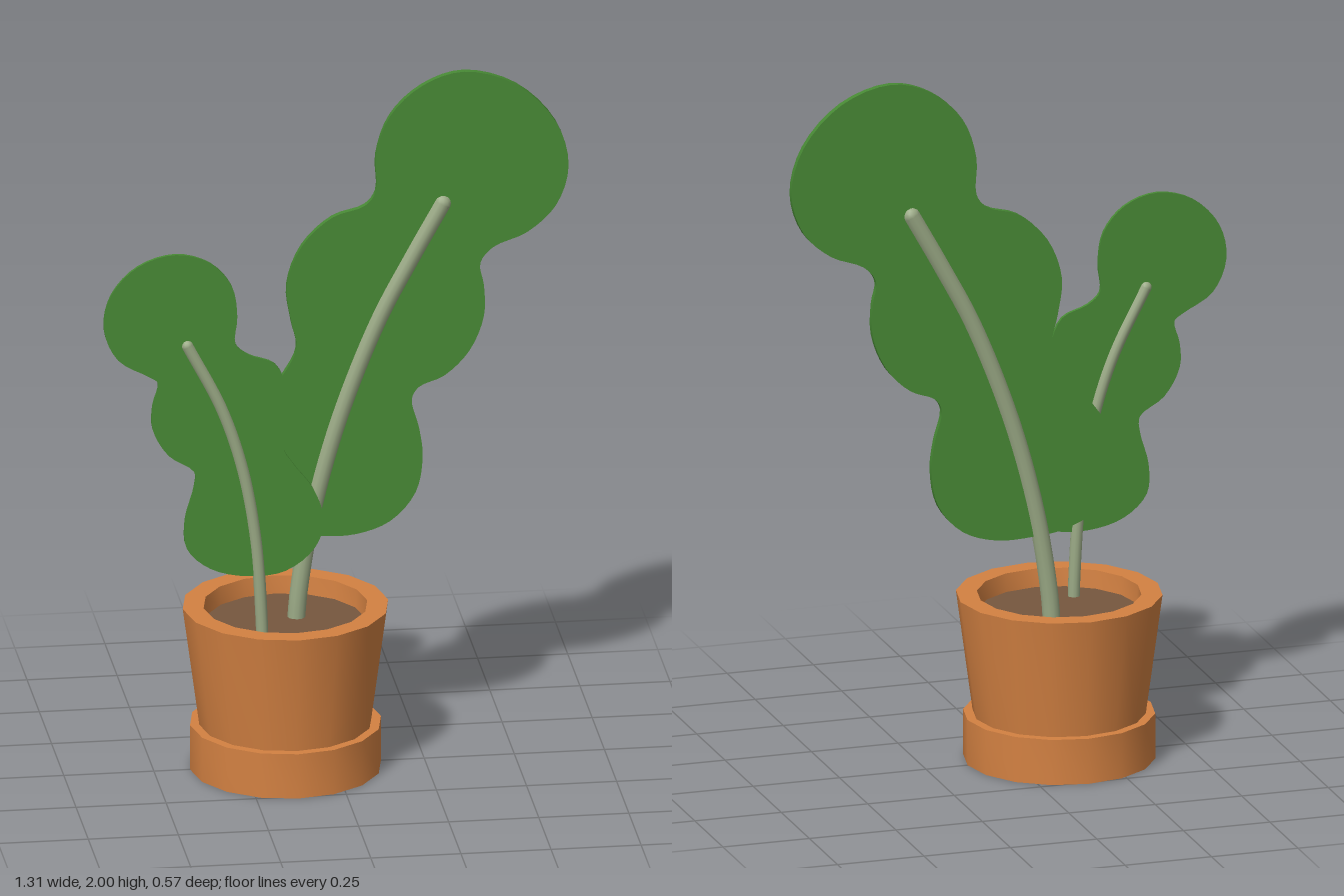
import * as THREE from 'three';
import { toCreasedNormals } from 'three/addons/utils/BufferGeometryUtils.js';

const material = (name, color) => new THREE.MeshStandardMaterial({ name, color });

function createMesh(name, geometry, mat) {
  const mesh = new THREE.Mesh(geometry, mat);
  mesh.name = name;
  return mesh;
}

// Sixteen-sided turned part with sharp rims
function turned(profile) {
  const points = profile.map(([r, y]) => new THREE.Vector2(r, y));
  return toCreasedNormals(new THREE.LatheGeometry(points, 16), 0.6);
}

// Flat lobed blade, centred on z = 0
function blade(outline, thickness) {
  const curve = new THREE.CatmullRomCurve3(
    outline.map(([x, y]) => new THREE.Vector3(x, y, 0)), true);
  const points = curve.getPoints(outline.length * 4).slice(0, -1);
  const shape = new THREE.Shape(points.map((p) => new THREE.Vector2(p.x, p.y)));
  const geometry = new THREE.ExtrudeGeometry(shape, { depth: thickness, bevelEnabled: false });
  geometry.translate(0, 0, -thickness / 2);
  return toCreasedNormals(geometry, 0.7);
}

// A leaf is a blade with a round-tipped stem running through it
function createLeaf(name, { outline, thickness, path, radius, z }, leafMat, stemMat) {
  const leaf = new THREE.Group();
  leaf.name = name;
  leaf.position.z = z;
  const curve = new THREE.CatmullRomCurve3(path.map(([x, y]) => new THREE.Vector3(x, y, 0)));
  const tip = createMesh('stemTip', new THREE.SphereGeometry(radius, 12, 8), stemMat);
  tip.position.copy(curve.getPoint(1));
  leaf.add(
    createMesh('blade', blade(outline, thickness), leafMat),
    createMesh('stem', new THREE.TubeGeometry(curve, 32, radius, 12), stemMat),
    tip,
  );
  return leaf;
}

const largeLeaf = {
  z: -0.04, thickness: 0.018, radius: 0.025,
  path: [[-0.1, 0.4], [-0.095, 0.474], [-0.058, 0.71], [0.016, 0.99], [0.127, 1.28], [0.22, 1.46], [0.306, 1.615]],
  outline: [
    [0.365, 2], [0.25, 1.965], [0.16, 1.88], [0.12, 1.765], [0.12, 1.66], [0.09, 1.62],
    [0, 1.59], [-0.085, 1.51], [-0.127, 1.395], [-0.115, 1.29], [-0.1, 1.21], [-0.14, 1.13],
    [-0.218, 1.02], [-0.29, 0.915], [-0.308, 0.83], [-0.26, 0.735], [-0.135, 0.67], [-0.04, 0.656],
    [0.063, 0.656], [0.16, 0.69], [0.23, 0.77], [0.25, 0.875], [0.24, 0.96], [0.22, 1.045],
    [0.24, 1.08], [0.31, 1.11], [0.38, 1.18], [0.42, 1.28], [0.42, 1.37], [0.41, 1.435],
    [0.445, 1.48], [0.54, 1.52], [0.62, 1.595], [0.655, 1.71], [0.62, 1.84], [0.51, 1.955],
  ],
};

const smallLeaf = {
  z: 0.117, thickness: 0.01, radius: 0.017,
  path: [[-0.215, 0.4], [-0.217, 0.474], [-0.233, 0.707], [-0.27, 0.92], [-0.328, 1.1], [-0.423, 1.29]],
  outline: [
    [-0.455, 1.56], [-0.56, 1.53], [-0.635, 1.45], [-0.655, 1.35], [-0.615, 1.257], [-0.53, 1.205],
    [-0.505, 1.185], [-0.52, 1.12], [-0.52, 1.05], [-0.475, 0.97], [-0.405, 0.92], [-0.405, 0.875],
    [-0.43, 0.78], [-0.425, 0.695], [-0.36, 0.633], [-0.255, 0.606], [-0.15, 0.617], [-0.07, 0.68],
    [-0.045, 0.76], [-0.075, 0.855], [-0.13, 0.93], [-0.16, 0.985], [-0.14, 1.065], [-0.145, 1.145],
    [-0.18, 1.225], [-0.255, 1.257], [-0.29, 1.29], [-0.285, 1.37], [-0.3, 1.46], [-0.36, 1.53],
  ],
};

export function createModel() {
  const terracotta = material('terracotta', 0xd38142);
  const earth = material('soil', 0x76573e);
  const leafGreen = material('leafGreen', 0x488a35);
  const stemGreen = material('stemGreen', 0x9aa985);

  const model = new THREE.Group();
  model.name = 'pottedPlant';

  // Pot, saucer and soil share one axis
  const planter = new THREE.Group();
  planter.name = 'planter';
  planter.position.x = -0.135;
  const soil = createMesh('soil', new THREE.CircleGeometry(0.226, 16), earth);
  soil.rotation.x = -Math.PI / 2;
  soil.position.y = 0.42;
  planter.add(
    createMesh('saucer', turned([[0, 0], [0.265, 0], [0.265, 0.13], [0.23, 0.13]]), terracotta),
    createMesh('pot', turned([[0.235, 0.1], [0.285, 0.472], [0.227, 0.472], [0.222, 0.41]]), terracotta),
    soil,
  );

  model.add(
    planter,
    createLeaf('largeLeaf', largeLeaf, leafGreen, stemGreen),
    createLeaf('smallLeaf', smallLeaf, leafGreen, stemGreen),
  );
  return model;
}
